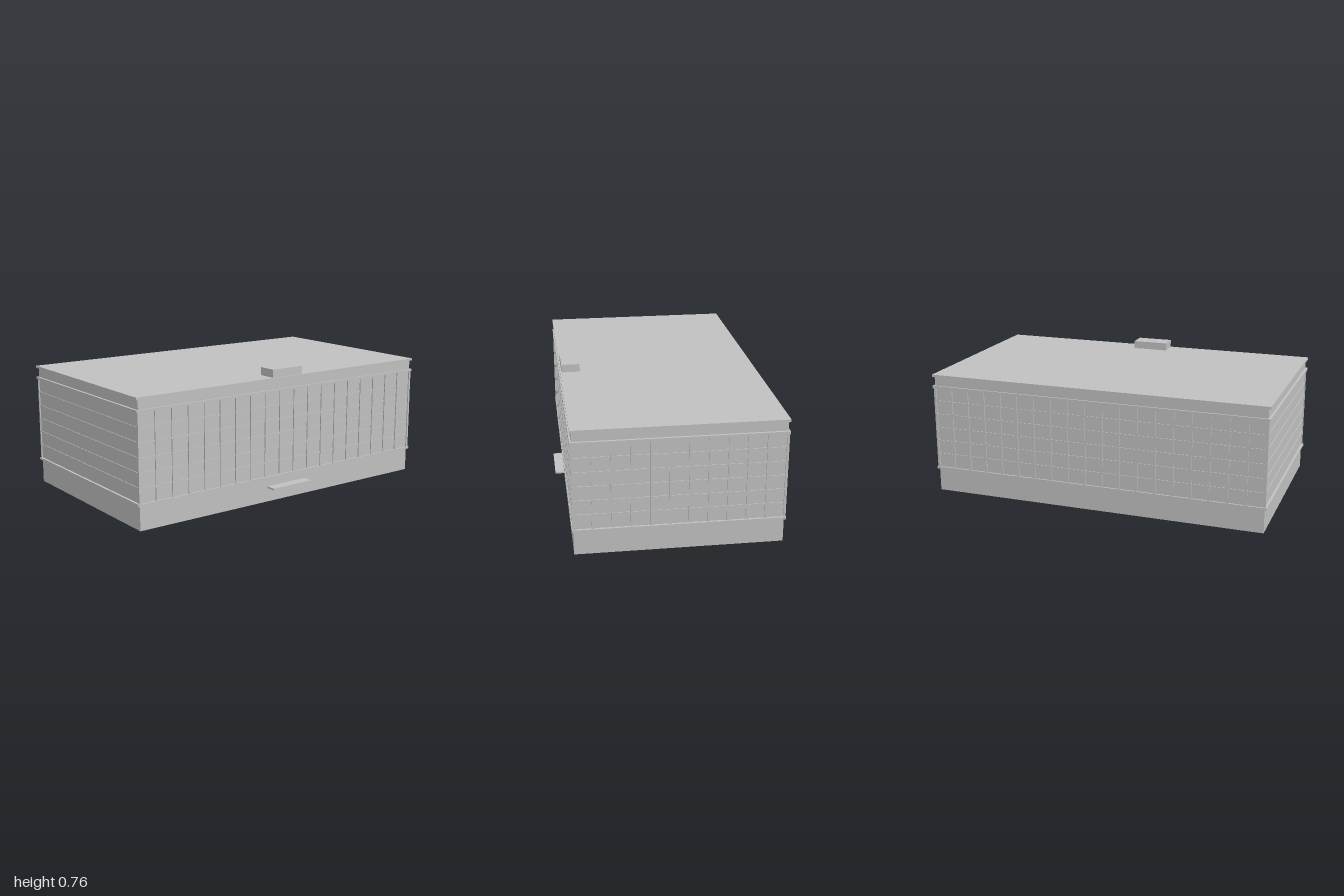
import * as THREE from 'three';

const X = 0.987, ZF = 0.543, ZB = -0.592;      // wall planes
const ZC = (ZF + ZB) / 2, DEPTH = ZF - ZB;
const Y0 = 0.15, Y1 = 0.637;                   // window zone
const ROWS = 6, FRONT_BAYS = 19, SIDE_BAYS = 11;
const FIN = 0.013, FIN_OUT = 0.007, BAR = 0.009, BAR_OUT = 0.004;

export function createModel() {
  const building = new THREE.Group();
  building.name = 'building';
  const grey = new THREE.MeshStandardMaterial({ color: 0xc0c0c0 });
  grey.name = 'light grey';

  function box(name, x0, x1, y0, y1, z0, z1, parent = building) {
    const mesh = new THREE.Mesh(new THREE.BoxGeometry(x1 - x0, y1 - y0, z1 - z0), grey);
    mesh.position.set((x0 + x1) / 2, (y0 + y1) / 2, (z0 + z1) / 2);
    mesh.name = name;
    parent.add(mesh);
    return mesh;
  }

  // Ground floor: a hollow ring of walls, open underneath
  const t = 0.003;
  const ring = new THREE.Shape([
    new THREE.Vector2(-X, -ZF), new THREE.Vector2(X, -ZF),
    new THREE.Vector2(X, -ZB), new THREE.Vector2(-X, -ZB)]);
  ring.holes.push(new THREE.Path([
    new THREE.Vector2(-X + t, -ZF + t), new THREE.Vector2(-X + t, -ZB - t),
    new THREE.Vector2(X - t, -ZB - t), new THREE.Vector2(X - t, -ZF + t)]));
  const baseGeometry = new THREE.ExtrudeGeometry(ring, { depth: 0.136, bevelEnabled: false });
  baseGeometry.rotateX(-Math.PI / 2);
  const base = new THREE.Mesh(baseGeometry, grey);
  base.name = 'groundFloorWalls';
  building.add(base);

  // Upper floors, projecting bands, parapet and roof slab
  box('upperFloors', -X, X, Y0, Y1, ZB, ZF);
  box('lowerBand', -1, 1, 0.136, Y0, ZB - 0.009, ZF + 0.009);
  box('upperBand', -1, 1, Y1, 0.65, ZB - 0.009, ZF + 0.009);
  box('parapet', -X, X, 0.65, 0.704, ZB, ZF);
  box('roofSlab', -1, 1, 0.704, 0.717, ZB - 0.008, ZF + 0.008);

  // Entrance canopy and roof housing
  box('entranceCanopy', -0.14, 0.14, 0.081, 0.091, ZF - 0.002, 0.602);
  box('roofHousing', -0.106, 0.106, 0.717, 0.763, 0.435, ZF);

  // One facade, built facing +z with the wall at z = 0
  function facade(name, width, bays, hasFins) {
    const group = new THREE.Group();
    group.name = name;
    const half = width / 2;
    for (let r = 1; r < ROWS; r++) {
      const y = Y0 + (Y1 - Y0) * r / ROWS;
      box('floorBar', -half, half, y - BAR / 2, y + BAR / 2, -0.002, BAR_OUT, group);
    }
    for (let i = 0; hasFins && i <= bays; i++) {
      const x = -half + width * i / bays;
      box('verticalFin', x - FIN / 2, x + FIN / 2, Y0, Y1, -0.002, FIN_OUT, group);
    }
    building.add(group);
    return group;
  }

  facade('frontFacade', 2 * X, FRONT_BAYS, true).position.z = ZF;
  const back = facade('backFacade', 2 * X, FRONT_BAYS, true);
  back.position.z = ZB;
  back.rotation.y = Math.PI;
  const left = facade('leftFacade', DEPTH, SIDE_BAYS, true);
  left.position.set(X, 0, ZC);
  left.rotation.y = Math.PI / 2;
  // The far side carries floor bars only
  const right = facade('rightFacade', DEPTH, SIDE_BAYS, false);
  right.position.set(-X, 0, ZC);
  right.rotation.y = -Math.PI / 2;

  return building;
}
